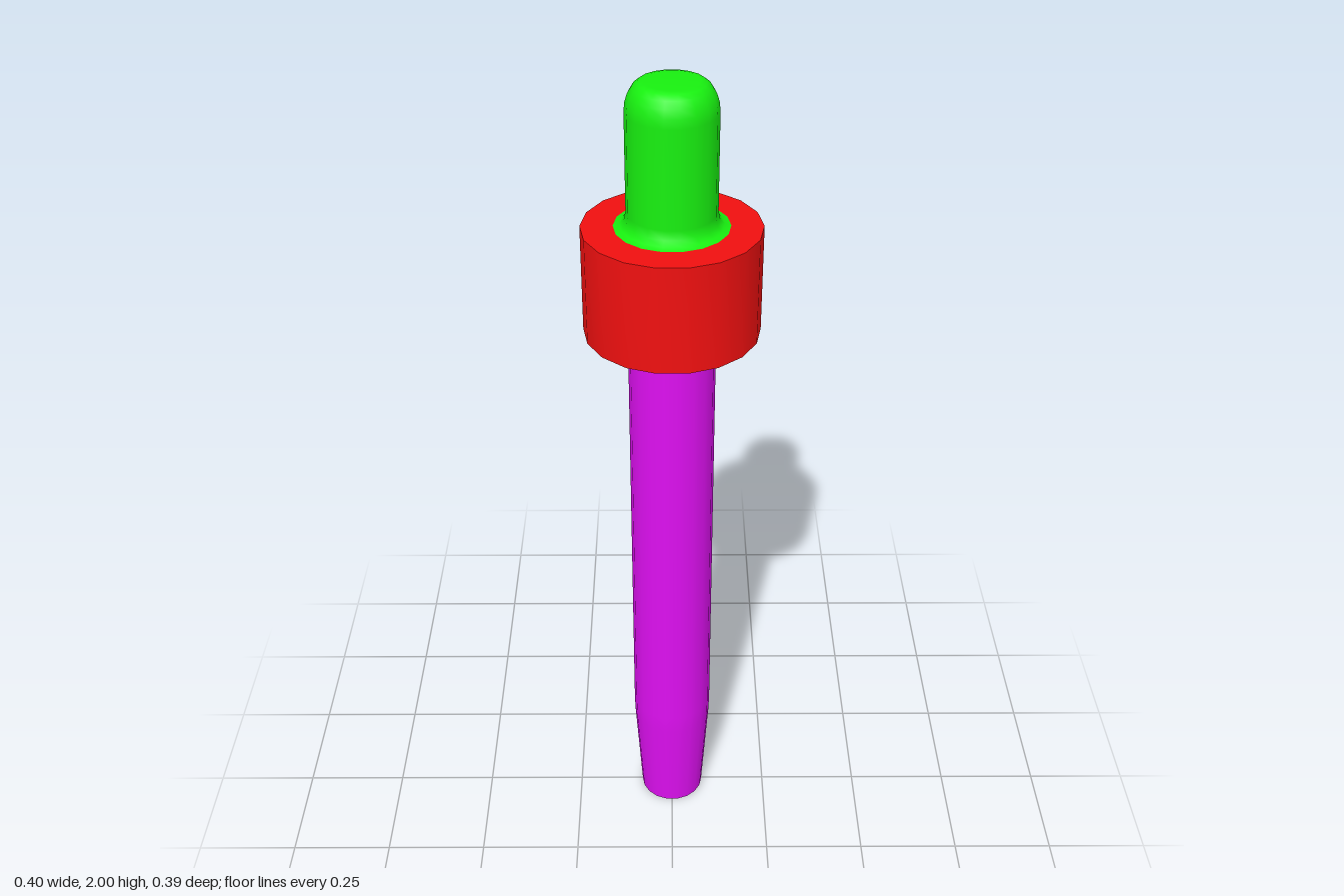
import * as THREE from 'three';
import { toCreasedNormals } from 'three/addons/utils/BufferGeometryUtils.js';

const SIDES = 18;

// Revolves a [radius, height] profile, listed bottom to top, around the y axis
function turned(name, color, profile, crease) {
  const points = profile.map(([r, y]) => new THREE.Vector2(r, y));
  let geometry = new THREE.LatheGeometry(points, SIDES, Math.PI / 2);
  if (crease) geometry = toCreasedNormals(geometry, crease);
  const material = new THREE.MeshStandardMaterial({ color, side: THREE.DoubleSide });
  const mesh = new THREE.Mesh(geometry, material);
  mesh.name = name;
  return mesh;
}

export function createModel() {
  const group = new THREE.Group();
  group.name = 'dropper';

  // Open tube, tapered towards the tip
  group.add(turned('tube', 0xdd10f0, [
    [0.081, 0], [0.098, 0.27], [0.099, 0.32], [0.099, 1.67],
  ]));

  // Hollow screw cap, open underneath
  group.add(turned('collar', 0xf01010, [
    [0.198, 1.43], [0.198, 1.68], [0.1, 1.68],
  ], 0.8));

  // Soft bulb: small flared foot, straight neck, rounded top
  const bulb = [[0.127, 1.681], [0.113, 1.685], [0.103, 1.695], [0.099, 1.715], [0.099, 1.935]];
  for (let i = 1; i <= 5; i++) {
    const a = (i / 5) * Math.PI / 2;
    bulb.push([0.059 + 0.04 * Math.cos(a), 1.935 + 0.065 * Math.sin(a)]);
  }
  bulb.push([0, 2]);
  group.add(turned('bulb', 0x18f010, bulb));

  return group;
}
